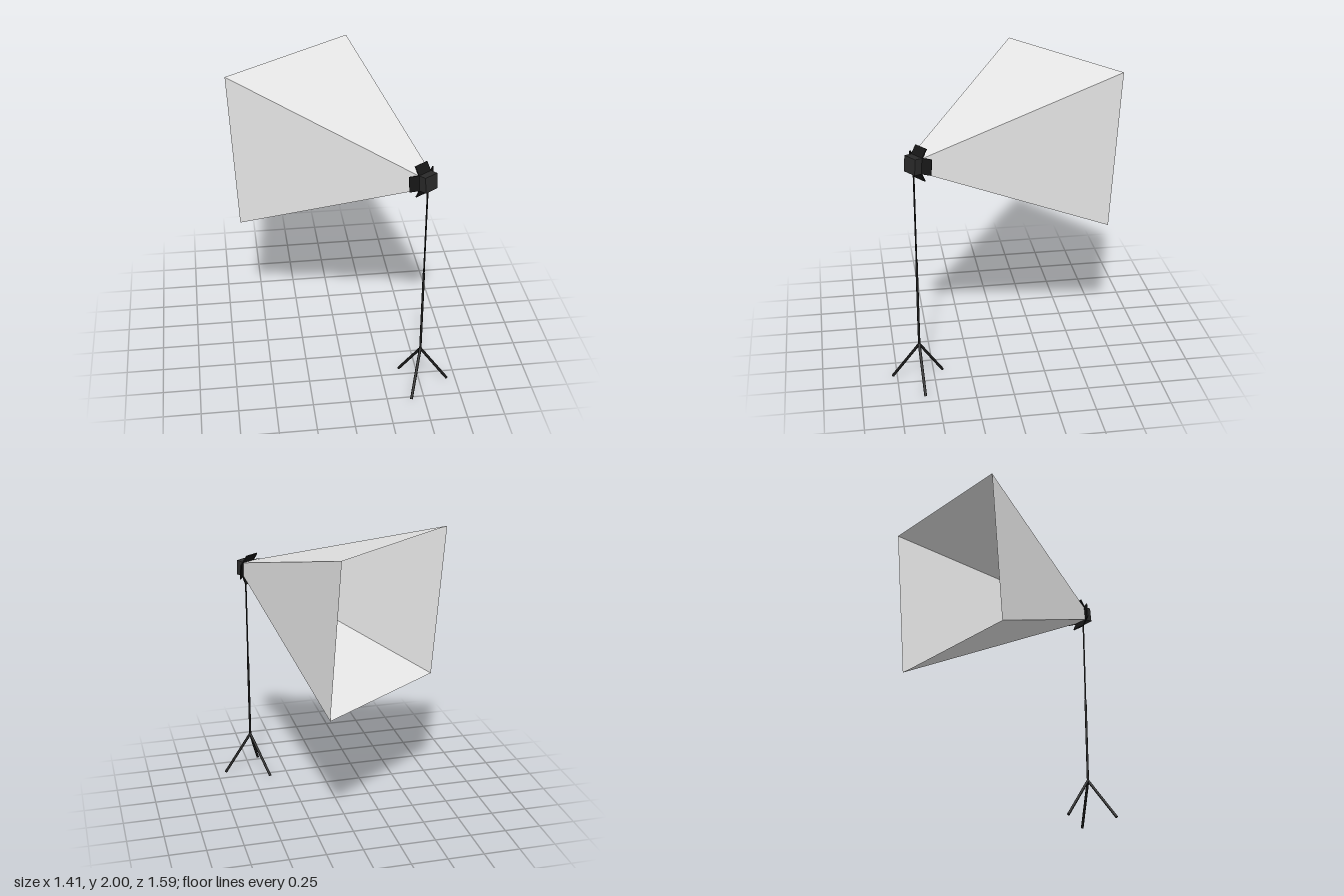
import * as THREE from 'three';

const rad = THREE.MathUtils.degToRad;

export function createModel() {
  const model = new THREE.Group();
  const standBlack = new THREE.MeshStandardMaterial({ color: 0x1a1a1a, flatShading: false });
  standBlack.name = 'standBlack';
  const housingGrey = new THREE.MeshStandardMaterial({ color: 0x2a2a2a });
  housingGrey.name = 'housingGrey';
  const flapBlack = new THREE.MeshStandardMaterial({ color: 0x151515 });
  flapBlack.name = 'flapBlack';
  const beamWhite = new THREE.MeshStandardMaterial({ color: 0xe6e6e6, flatShading: true, side: THREE.DoubleSide });
  beamWhite.name = 'beamWhite';

  const add = (parent, name, geometry, material) => {
    const mesh = new THREE.Mesh(geometry, material);
    mesh.name = name;
    parent.add(mesh);
    return mesh;
  };

  // round bar between two points
  const bar = (parent, name, a, b, radius) => {
    const dir = b.clone().sub(a);
    const mesh = add(parent, name, new THREE.CylinderGeometry(radius, radius, dir.length(), 12), standBlack);
    mesh.position.copy(a).addScaledVector(dir, 0.5);
    mesh.quaternion.setFromUnitVectors(new THREE.Vector3(0, 1, 0), dir.normalize());
  };

  // tripod stand: telescopic pole and three splayed legs
  const stand = new THREE.Group();
  stand.name = 'stand';
  stand.position.set(0.495, 0, 0.6);
  model.add(stand);
  const hub = new THREE.Vector3(0, 0.29, 0);
  bar(stand, 'lowerPole', hub, new THREE.Vector3(0, 0.9, 0), 0.008);
  bar(stand, 'upperPole', new THREE.Vector3(0, 0.9, 0), new THREE.Vector3(0, 1.54, 0), 0.0055);
  for (const angle of [-5, 115, 235]) {
    const a = rad(angle);
    bar(stand, 'leg', hub, new THREE.Vector3(0.197 * Math.cos(a), 0.005, 0.197 * Math.sin(a)), 0.0095);
  }

  // lamp head, aimed backwards and tilted slightly down; local +z is the beam direction
  const head = new THREE.Group();
  head.name = 'lampHead';
  head.position.set(0.495, 1.581, 0.6);
  head.rotation.set(rad(5), rad(215), 0, 'YXZ');
  model.add(head);
  add(head, 'housing', new THREE.BoxGeometry(0.104, 0.104, 0.06), housingGrey);

  // four barn doors flaring out from the front rim
  for (let i = 0; i < 4; i++) {
    const hinge = new THREE.Group();
    hinge.name = 'barnDoorHinge';
    hinge.rotation.z = i * Math.PI / 2;
    head.add(hinge);
    const door = add(hinge, 'barnDoor', new THREE.BoxGeometry(0.104, 0.064, 0.008), flapBlack);
    door.position.set(0, 0.078, 0.043);
    door.rotation.x = rad(30);
  }

  // open square cone of light
  const near = 0.03, far = 1.295;
  const cone = new THREE.CylinderGeometry(0.532 * Math.SQRT2, 0.048 * Math.SQRT2, far - near, 4, 1, true);
  cone.rotateY(Math.PI / 4);
  cone.rotateX(Math.PI / 2);
  cone.translate(0, 0, (near + far) / 2);
  add(head, 'lightBeam', cone, beamWhite);

  return model;
}
